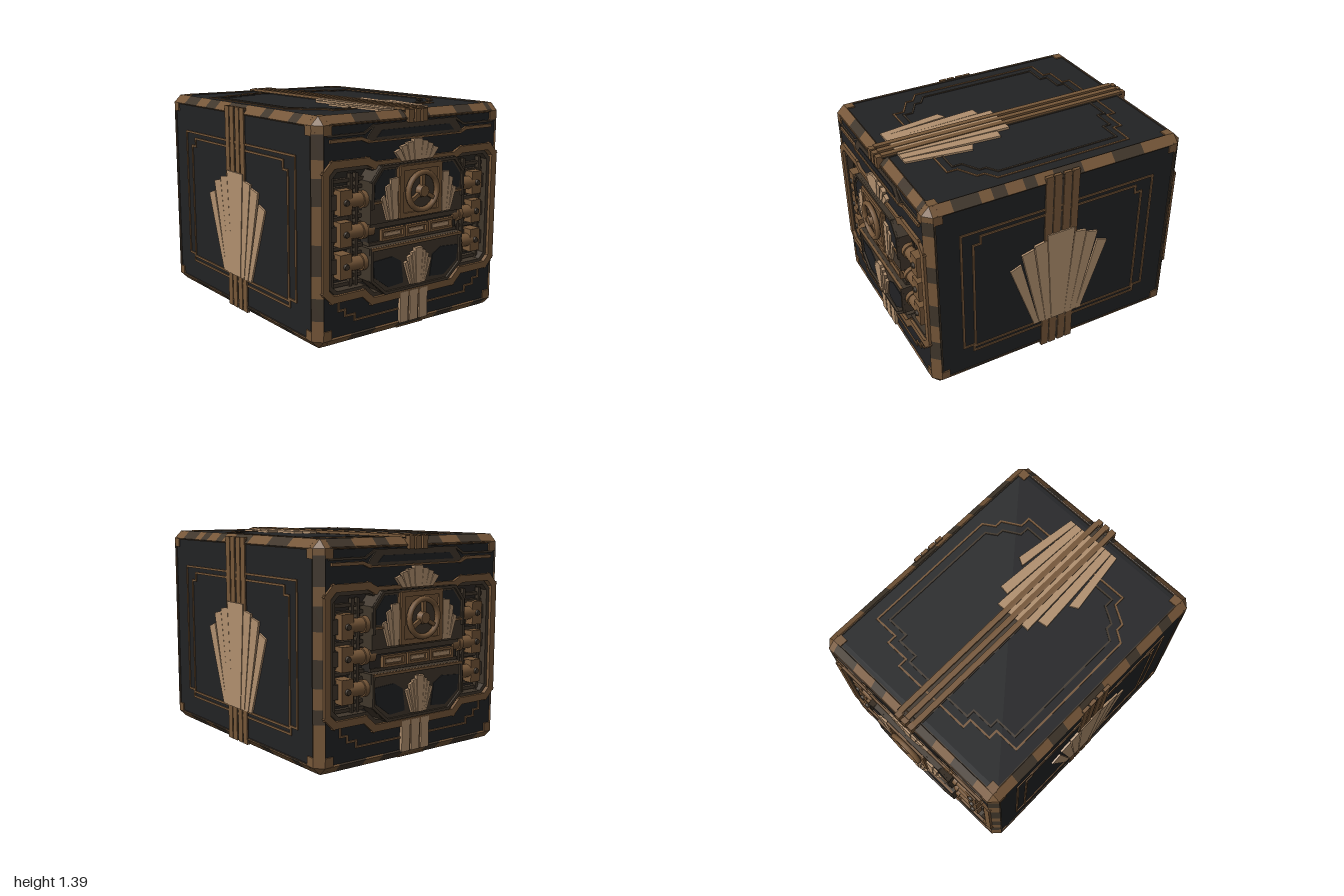
import * as THREE from 'three';
import { mergeGeometries } from 'three/addons/utils/BufferGeometryUtils.js';
import { ConvexGeometry } from 'three/addons/geometries/ConvexGeometry.js';

const mat = (name, color) => Object.assign(new THREE.MeshStandardMaterial({ color }), { name });
const black = mat('black enamel', 0x212224);
const umber = mat('dark brown metal', 0x40362b);
const bronze = mat('bronze', 0x755638);
const tan = mat('pale brass', 0xb08f6e);
const soot = mat('recess brown black', 0x2b2723);

const HALF = [0.735, 0.68, 0.9], MID = 0.69, CH = 0.04;

let seed = 7;
const rand = () => (seed = (seed * 16807) % 2147483647) / 2147483647;

const mesh = (parent, name, geo, material) => {
  const m = new THREE.Mesh(geo, material);
  m.name = name;
  parent.add(m);
  return m;
};
const box = (x, y, z, w, h, d) => new THREE.BoxGeometry(w, h, d).translate(x, y, z);
const toShape = pts => new THREE.Shape(pts.map(p => new THREE.Vector2(...p)));
const slab = (pts, z0, z1) =>
  new THREE.ExtrudeGeometry(toShape(pts), { depth: z1 - z0, bevelEnabled: false }).translate(0, 0, z0);
// closes a right-hand outline with its mirror image
const mirror = pts => [...pts, ...pts.map(([x, y]) => [-x, y]).reverse()];

// raised line along a path, made of one bar per segment
function line(pts, w, z0, z1, closed = false) {
  const bars = [];
  for (let i = 0; i < pts.length - (closed ? 0 : 1); i++) {
    const [ax, ay] = pts[i], [bx, by] = pts[(i + 1) % pts.length];
    const len = Math.hypot(bx - ax, by - ay);
    if (len < 1e-4) continue;
    bars.push(new THREE.BoxGeometry(len + w * 0.8, w, z1 - z0)
      .rotateZ(Math.atan2(by - ay, bx - ax))
      .translate((ax + bx) / 2, (ay + by) / 2, (z0 + z1) / 2));
  }
  return mergeGeometries(bars);
}

// stepped fan; steps run outward from the middle as [outer x, inner top, outer top]
function fan(steps, baseHalf, y0, z0, z1, sides = [-1, 1]) {
  const ribs = [], k = baseHalf / steps.at(-1)[0], g = 0.004;
  steps.forEach(([x, yi, yo], i) => {
    const x0 = i ? steps[i - 1][0] : 0;
    if (!i && sides.length > 1) {
      ribs.push(slab([[-x * k, y0], [x * k, y0], [x, yi], [-x, yi]], z0, z1));
      return;
    }
    for (const s of sides) ribs.push(slab(
      [[s * (x0 * k + g / 2), y0], [s * x * k, y0], [s * x, yo], [s * (x0 + g), yi]], z0, z1 - i * 0.002));
  });
  return mergeGeometries(ribs);
}

const frameHalf = [[0.33, 0.235], [0.4, 0.3], [0.63, 0.3], [0.68, 0.35], [0.68, 1.05], [0.63, 1.1], [0.38, 1.1], [0.32, 1.07]];

function chamferRect(w, y0, y1, c) {
  return mirror([[w - c, y0], [w, y0 + c], [w, y1 - c], [w - c, y1]]);
}

// body: core prism and two end slabs with recesses
function body(root) {
  const outline = chamferRect(HALF[0], MID - HALF[1], MID + HALF[1], CH);
  mesh(root, 'body core', slab(outline, -0.82, 0.82), black);
  for (const s of [0, 1]) {
    const shape = toShape(outline);
    shape.holes.push(new THREE.Path(mirror(frameHalf.map(([x, y]) => [x * 0.955, 0.67 + (y - 0.67) * 0.94]))
      .map(p => new THREE.Vector2(...p))));
    const geo = new THREE.ExtrudeGeometry(shape, {
      depth: 0.04, bevelThickness: CH, bevelSize: CH, bevelOffset: 0 - CH, bevelSegments: 1,
    }).translate(0, 0, 0.82).rotateY(s * Math.PI);
    mesh(root, 'end slab', geo, black);
  }
}

// worn strips on all edges and metal caps on all corners
function trim(root) {
  const worn = { bronze: [], umber: [] }, caps = [];
  const unit = i => new THREE.Vector3().setComponent(i, 1);
  for (let a = 0; a < 3; a++) for (const sb of [-1, 1]) for (const sc of [-1, 1]) {
    const b = (a + 1) % 3, c = (a + 2) % 3;
    const n = unit(b).multiplyScalar(sb).addScaledVector(unit(c), sc).normalize();
    const m = new THREE.Matrix4().makeBasis(unit(a), n.clone().cross(unit(a)), n);
    let p = -HALF[a] + 0.08;
    for (let i = 0; p < HALF[a] - 0.08; i++) {
      const len = Math.min(0.08 + rand() * 0.16, HALF[a] - 0.08 - p);
      const pos = unit(a).multiplyScalar(p + len / 2)
        .addScaledVector(unit(b), sb * (HALF[b] - CH / 2)).addScaledVector(unit(c), sc * (HALF[c] - CH / 2));
      m.setPosition(pos.x, pos.y + MID, pos.z);
      (i % 2 ? worn.umber : worn.bronze).push(new THREE.BoxGeometry(len, 0.074, 0.012).applyMatrix4(m));
      p += len;
    }
  }
  const c = 0.05, L = 0.11, pts = [[L, L, L]];
  for (let i = 0; i < 3; i++) for (const [u, v] of [[c, c], [c, L], [L, c], [L, L]]) {
    const p = [0, 0, 0];
    p[(i + 1) % 3] = u;
    p[(i + 2) % 3] = v;
    pts.push(p);
  }
  for (const sx of [-1, 1]) for (const sy of [-1, 1]) for (const sz of [-1, 1]) {
    const s = [sx, sy, sz];
    caps.push(new ConvexGeometry(pts.map(p =>
      new THREE.Vector3(...p.map((d, i) => s[i] * (HALF[i] + 0.009 - d) + (i === 1 ? MID : 0))))));
  }
  mesh(root, 'edge trim bright', mergeGeometries(worn.bronze), bronze);
  mesh(root, 'edge trim dark', mergeGeometries(worn.umber), umber);
  mesh(root, 'corner caps', mergeGeometries(caps), bronze);
}

// machinery face, used on front and back
function machineFace() {
  const g = new THREE.Group();
  g.name = 'machine face';
  mesh(g, 'recess floor', slab(mirror(frameHalf), 0.815, 0.825), soot);
  mesh(g, 'recess frame', line(mirror(frameHalf), 0.045, 0.84, 0.918, true), bronze);
  mesh(g, 'recess inner frame', line(mirror(frameHalf.map(([x, y]) => [x * 0.945, 0.67 + (y - 0.67) * 0.92])), 0.025, 0.82, 0.9, true), umber);
  const slats = [], pipes = [], clamps = [], bolts = [];
  for (const s of [-1, 1]) {
    for (let y = 0.36; y < 1.03; y += 0.045) slats.push(box(s * 0.5, y, 0.84, 0.27, 0.022, 0.03));
    for (const x of [0.42, 0.46, 0.6]) slats.push(box(s * x, 0.68, 0.85, 0.02, 0.7, 0.03));
    for (const y of [0.87, 0.68, 0.485]) {
      pipes.push(new THREE.CylinderGeometry(0.043, 0.043, 0.2, 16).rotateZ(Math.PI / 2).translate(s * 0.42, y, 0.875));
      pipes.push(new THREE.CylinderGeometry(0.052, 0.052, 0.03, 16).rotateZ(Math.PI / 2).translate(s * 0.39, y, 0.875));
      clamps.push(box(s * 0.533, y, 0.868, 0.085, 0.15, 0.09));
      bolts.push(new THREE.CylinderGeometry(0.017, 0.02, 0.015, 8).rotateX(Math.PI / 2).translate(s * 0.533, y, 0.92));
      slats.push(box(s * 0.615, y, 0.85, 0.08, 0.09, 0.05));
    }
  }
  mesh(g, 'recess slats', mergeGeometries(slats), umber);
  mesh(g, 'pipes', mergeGeometries(pipes), bronze);
  mesh(g, 'pipe clamps', mergeGeometries(clamps), bronze);
  mesh(g, 'clamp bolts', mergeGeometries(bolts), umber);

  // upper panel with hand wheel
  const upper = mirror([[0.375, 0.72], [0.375, 0.98], [0.3, 1.07]]);
  mesh(g, 'upper panel', slab(upper, 0.82, 0.94), umber);
  mesh(g, 'upper panel rim', line(mirror([[0.365, 0.82], [0.365, 0.975], [0.295, 1.06]]), 0.018, 0.93, 0.952), umber);
  for (const s of [-1, 1]) {
    mesh(g, 'upper inset', slab([[0.19, 0.87], [0.345, 0.87], [0.345, 0.96], [0.28, 1.04], [0.19, 1.04]].map(([x, y]) => [s * x, y]), 0.94, 0.944), black);
    mesh(g, 'inset line', box(s * 0.33, 0.85, 0.945, 0.08, 0.014, 0.012), bronze);
    mesh(g, 'wheel side fan', fan([[0.06, 0.99, 0.985], [0.095, 0.955, 0.94], [0.125, 0.89, 0.875]], 0.08, 0.735, 0.94, 0.96, [s]).translate(s * 0.178, 0, 0), tan);
  }
  mesh(g, 'wheel plate', slab(chamferRect(0.175, 0.73, 1.06, 0.012), 0.9, 0.955), bronze);
  mesh(g, 'wheel plate rim', line([[-0.155, 0.75], [0.155, 0.75], [0.155, 1.04], [-0.155, 1.04]], 0.03, 0.95, 0.967, true), bronze);
  mesh(g, 'wheel well', new THREE.CircleGeometry(0.125, 24).translate(0, 0.89, 0.957), umber);
  mesh(g, 'hand wheel', new THREE.TorusGeometry(0.116, 0.018, 8, 24).translate(0, 0.89, 0.978), bronze);
  const spokes = [new THREE.CylinderGeometry(0.035, 0.042, 0.04, 12).rotateX(Math.PI / 2).translate(0, 0, 0.978)];
  for (let i = 0; i < 3; i++) spokes.push(box(0, 0.07, 0.975, 0.025, 0.1, 0.022).rotateZ(i * Math.PI * 2 / 3));
  mesh(g, 'wheel spokes', mergeGeometries(spokes).translate(0, 0.89, 0), bronze);

  // indicator strip
  mesh(g, 'indicator strip', box(0, 0.645, 0.86, 0.72, 0.13, 0.08), soot);
  mesh(g, 'indicator strip ledges', mergeGeometries([box(0, 0.7, 0.88, 0.72, 0.03, 0.07), box(0, 0.592, 0.88, 0.72, 0.02, 0.06)]), umber);
  for (const [x, w] of [[-0.18, 0.17], [0.015, 0.16], [0.215, 0.18]]) {
    mesh(g, 'indicator frame', line([[x - w / 2, 0.61], [x + w / 2, 0.61], [x + w / 2, 0.665], [x - w / 2, 0.665]], 0.016, 0.895, 0.925, true), bronze);
    mesh(g, 'indicator bed', box(x, 0.638, 0.9, w, 0.05, 0.016), bronze);
    mesh(g, 'indicator bar', box(x, 0.636, 0.91, w - 0.045, 0.022, 0.008), tan);
  }

  // lower panel with fan
  const lower = [[0.26, 0.27], [0.375, 0.37], [0.375, 0.575]];
  mesh(g, 'lower panel', slab(mirror(lower), 0.82, 0.935), umber);
  mesh(g, 'lower panel rim', line(mirror([[0.255, 0.28], [0.365, 0.375], [0.365, 0.565]]), 0.018, 0.925, 0.95, true), umber);
  mesh(g, 'lower panel top line', box(0, 0.568, 0.945, 0.74, 0.014, 0.016), bronze);
  for (const s of [-1, 1])
    mesh(g, 'lower inset', slab([[0.11, 0.32], [0.23, 0.31], [0.34, 0.39], [0.35, 0.49], [0.2, 0.5], [0.13, 0.46]].map(([x, y]) => [s * x, y]), 0.935, 0.94), black);
  mesh(g, 'lower fan', fan([[0.03, 0.53, 0.53], [0.058, 0.51, 0.505], [0.085, 0.49, 0.48], [0.11, 0.455, 0.445]], 0.06, 0.3, 0.935, 0.96), tan);

  // fan, grip and lines above the recess
  mesh(g, 'upper fan', fan([[0.035, 1.205, 1.205], [0.085, 1.19, 1.185], [0.13, 1.175, 1.165], [0.175, 1.15, 1.135]], 0.125, 1.075, 0.9, 0.93), tan);
  mesh(g, 'grip hump', slab(mirror([[0.39, 1.215], [0.37, 1.25], [0.32, 1.305]]), 0.9, 0.91), umber);
  mesh(g, 'grip hollow', slab(mirror([[0.31, 1.235], [0.27, 1.275]]), 0.91, 0.914), black);
  mesh(g, 'grip lines', mergeGeometries([line([[-0.37, 1.212], [0.37, 1.212]], 0.012, 0.9, 0.918),
    ...[-1, 1].map(s => line([[s * 0.64, 1.235], [s * 0.42, 1.235], [s * 0.37, 1.215]], 0.02, 0.9, 0.915))]), bronze);
  mesh(g, 'shoulder lines', line([[-0.66, 1.265], [-0.4, 1.265], [-0.33, 1.305], [0.33, 1.305], [0.4, 1.265], [0.66, 1.265]], 0.014, 0.9, 0.91), umber);
  mesh(g, 'top line', box(0, 1.328, 0.903, 1.3, 0.012, 0.012), bronze);
  mesh(g, 'upper strap', mergeGeometries([-0.055, 0, 0.055].map(x => box(x, 1.345, 0.9, 0.04, 0.08, 0.05))), bronze);

  // strap and stepped lines below the recess
  mesh(g, 'lower strap', mergeGeometries([-0.08, 0, 0.08].map(x => box(x, 0.148, 0.905, 0.066, 0.2, 0.03))), tan);
  mesh(g, 'lower strap bed', box(0, 0.148, 0.9, 0.22, 0.2, 0.02), bronze);
  mesh(g, 'stepped lines', mergeGeometries([-1, 1].map(s => line(
    [[0.58, 0.27], [0.58, 0.22], [0.53, 0.22], [0.53, 0.18], [0.46, 0.18], [0.46, 0.14], [0.12, 0.14]].map(([x, y]) => [s * x, y]), 0.012, 0.9, 0.908))), bronze);
  return g;
}

// side face with double frame, strap and large fan
function sideFace() {
  const g = new THREE.Group(), X = HALF[0];
  g.name = 'side face';
  mesh(g, 'border', line(chamferRect(0.85, 0.055, 1.325, 0.02), 0.014, X, X + 0.006, true), umber);
  mesh(g, 'outer frame', line(mirror([[0.62, 0.2], [0.62, 0.25], [0.69, 0.25], [0.69, 1.135]]), 0.014, X, X + 0.007, true), bronze);
  mesh(g, 'inner frame', line(mirror([[0.55, 0.235], [0.61, 0.235], [0.61, 1.04], [0.56, 1.04], [0.56, 1.095]]), 0.014, X, X + 0.007, true), bronze);
  mesh(g, 'strap bed', box(0, MID, X, 0.24, 1.33, 0.012), umber);
  mesh(g, 'strap ribs', mergeGeometries([-0.094, -0.034, 0.034, 0.094].map(x => box(x, MID, X, 0.05, 1.35, 0.022))), bronze);
  mesh(g, 'side fan', fan([[0.1, 0.94, 0.94], [0.19, 0.9, 0.885], [0.28, 0.865, 0.845], [0.36, 0.775, 0.745]], 0.18, 0.24, X, X + 0.018), tan);
  return g;
}

// roof and underside, drawn with local y pointing to the back
function roofFace() {
  const g = new THREE.Group();
  g.name = 'roof face';
  mesh(g, 'border', line(chamferRect(0.69, -0.855, 0.855, 0.02), 0.014, 0, 0.006, true), umber);
  const steps = [[0.41, -0.61], [0.41, -0.54], [0.53, -0.47], [0.53, -0.42], [0.605, -0.37], [0.605, 0.57], [0.44, 0.57], [0.44, 0.63], [0.28, 0.63], [0.28, 0.69]];
  mesh(g, 'outer frame', line(mirror(steps), 0.012, 0, 0.006, true), bronze);
  mesh(g, 'inner frame', line(mirror(steps.map(([x, y]) => [x * 0.9, y * 0.91])), 0.012, 0, 0.006, true), umber);
  mesh(g, 'strap bed', box(0, 0, 0.003, 0.17, 1.78, 0.006), umber);
  mesh(g, 'strap ribs', mergeGeometries([-0.06, 0, 0.06].map(x => box(x, 0, 0.008, 0.036, 1.78, 0.028))), bronze);
  mesh(g, 'roof fan', fan([[0.07, -0.03, -0.03], [0.13, -0.03, -0.03], [0.2, -0.12, -0.13], [0.26, -0.33, -0.36]], 0.2, -0.79, 0, 0.018), tan);
  return g;
}

function underFace() {
  const g = new THREE.Group();
  g.name = 'underside';
  mesh(g, 'border', line(chamferRect(0.64, -0.8, 0.8, 0.05), 0.014, 0, 0.003, true), umber);
  mesh(g, 'underside strap', box(0, 0, 0.0025, 0.22, 1.76, 0.005), bronze);
  mesh(g, 'underside fan', fan([[0.08, 0.38, 0.38], [0.15, 0.34, 0.32], [0.21, 0.25, 0.23], [0.26, 0.12, 0.09]], 0.13, -0.66, 0, 0.0095), tan);
  return g;
}

export function createModel() {
  const root = new THREE.Group();
  root.name = 'chest';
  body(root);
  trim(root);
  for (const turn of [0, 1]) {
    const face = machineFace();
    face.rotation.y = turn * Math.PI;
    const side = sideFace();
    side.rotation.y = (turn - 0.5) * Math.PI;
    root.add(face, side);
  }
  const roof = roofFace();
  roof.rotation.x = -Math.PI / 2;
  roof.position.y = MID + HALF[1];
  const under = underFace();
  under.rotation.set(Math.PI / 2, 0, Math.PI);
  under.position.y = MID - HALF[1];
  root.add(roof, under);
  return root;
}
